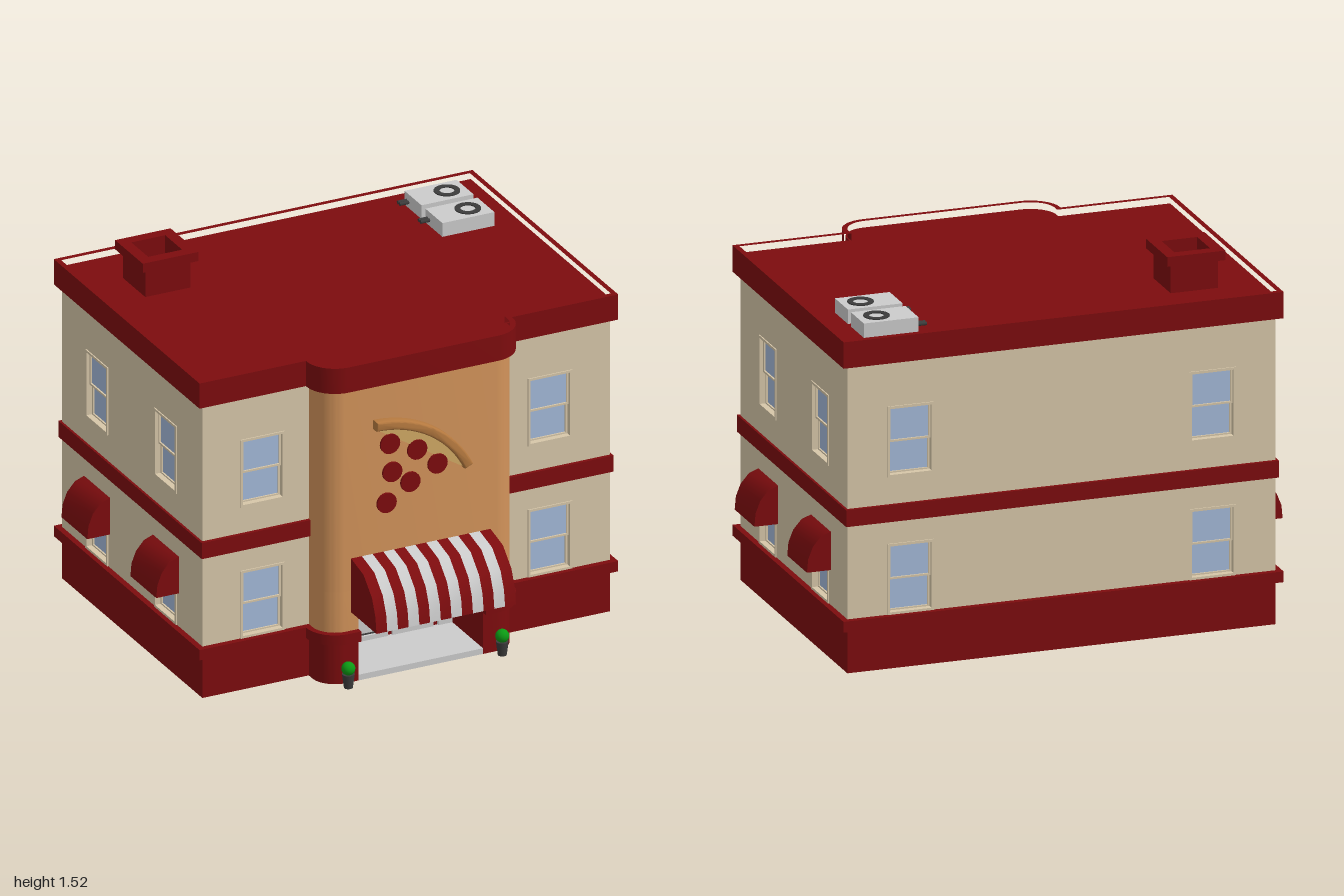
import * as THREE from 'three';
import { toCreasedNormals } from 'three/addons/utils/BufferGeometryUtils.js';

const mat = (color) => new THREE.MeshStandardMaterial({ color });
const RED = mat(0x7d0c0e), CREAM = mat(0xd6c6a8), ORANGE = mat(0xd2935a), GREY = mat(0xcccccc);
const GLASS = mat(0xa3b8d8), DARK = mat(0x3c3c3c), GREEN = mat(0x0c9a14);
const CHEESE = mat(0xd0a864), CRUST = mat(0xb5793f);

function add(parent, name, geometry, material, x = 0, y = 0, z = 0) {
  const mesh = new THREE.Mesh(geometry, material);
  mesh.name = name;
  mesh.position.set(x, y, z);
  parent.add(mesh);
  return mesh;
}
const box = (w, h, d) => new THREE.BoxGeometry(w, h, d);
const extrude = (shape, depth) => toCreasedNormals(
  new THREE.ExtrudeGeometry(shape, { depth, bevelEnabled: false, curveSegments: 10 }), 0.6);

function rect(w, h, x = 0, y = 0, Type = THREE.Shape) {
  const s = new Type();
  s.moveTo(x - w / 2, y - h / 2);
  s.lineTo(x + w / 2, y - h / 2);
  s.lineTo(x + w / 2, y + h / 2);
  s.lineTo(x - w / 2, y + h / 2);
  s.closePath();
  return s;
}
function frame(w, h, t, depth) {
  const s = rect(w, h);
  s.holes.push(rect(w - 2 * t, h - 2 * t, 0, 0, THREE.Path));
  return extrude(s, depth);
}

// Floor plan (shape y = -z), grown by o; optional door notch, or the rounded bay alone
function plan(o, { notch = false, bayOnly = false, Type = THREE.Shape } = {}) {
  const s = new Type(), r = 0.1 + o, bx = 0.43 + o, f = -0.59 - o, x = 0.9 + o;
  if (bayOnly) {
    s.moveTo(-bx, 0);
    s.lineTo(bx, 0);
  } else {
    s.moveTo(-x, 0.78 + o);
    s.lineTo(x, 0.78 + o);
    s.lineTo(x, -0.46 - o);
    s.lineTo(bx, -0.46 - o);
  }
  s.absarc(bx - r, f + r, r, 0, -Math.PI / 2, true);
  if (notch) for (const [px, py] of [[0.275, f], [0.275, -0.1], [-0.275, -0.1], [-0.275, f]]) s.lineTo(px, py);
  s.absarc(r - bx, f + r, r, -Math.PI / 2, -Math.PI, true);
  if (!bayOnly) {
    s.lineTo(-bx, -0.46 - o);
    s.lineTo(-x, -0.46 - o);
  }
  s.closePath();
  return s;
}
const slab = (shape, y0, y1) => extrude(shape, y1 - y0).rotateX(-Math.PI / 2).translate(0, y0, 0);

// Sash window, its opening face at z = 0
function makeWindow() {
  const g = new THREE.Group();
  g.name = 'window';
  add(g, 'windowFrame', frame(0.195, 0.295, 0.01, 0.035), CREAM, 0, 0, -0.03);
  add(g, 'upperSash', frame(0.175, 0.145, 0.008, 0.012), CREAM, 0, 0.067, -0.022);
  add(g, 'lowerSash', frame(0.175, 0.145, 0.008, 0.012), CREAM, 0, -0.067, -0.032);
  add(g, 'upperPane', box(0.165, 0.135, 0.006), GLASS, 0, 0.067, -0.02);
  add(g, 'lowerPane', box(0.165, 0.135, 0.006), GLASS, 0, -0.067, -0.03);
  return g;
}

// Wall panel facing +z with two storeys of windows
function makeWall(name, width, windowXs) {
  const g = new THREE.Group();
  g.name = name;
  const s = rect(width, 1.055, 0, 0.7525);
  for (const x of windowXs) for (const y of [0.3725, 0.945]) {
    s.holes.push(rect(0.195, 0.295, x, y, THREE.Path));
    const w = makeWindow();
    w.position.set(x, y, 0);
    g.add(w);
  }
  add(g, 'wallPanel', extrude(s, 0.04), CREAM, 0, 0, -0.04);
  return g;
}

// Curved awning: profile of [outward, y] points, open underneath
function makeAwning(name, profile, width, stripes) {
  const g = new THREE.Group();
  g.name = name;
  const y0 = profile[profile.length - 1][1];
  const outer = profile.map(([d, y]) => new THREE.Vector2(d, y));
  const inner = profile.map(([d, y]) => new THREE.Vector2(d * 0.94, y0 + (y - y0) * 0.94)).reverse();
  const across = (shape, w) => extrude(shape, w).rotateY(-Math.PI / 2).translate(w / 2, 0, 0);
  const w = width / stripes;
  for (let i = 0; i < stripes; i++) {
    add(g, 'awningStripe', across(new THREE.Shape([...outer, ...inner]), w), i % 2 ? GREY : RED, (i + 0.5) * w - width / 2);
  }
  const side = new THREE.Shape([new THREE.Vector2(0, y0), ...outer]);
  for (const sx of [-1, 1]) add(g, 'awningSide', across(side, 0.006), RED, sx * (width / 2 - 0.0025));
  return g;
}

// Wall sign: pie slice with a raised crust and round toppings
function makeSliceSign() {
  const g = new THREE.Group();
  g.name = 'sliceSign';
  g.position.set(-0.21, 0.65, 0.585);
  const a0 = 0.455, a1 = Math.PI / 2;
  const slice = new THREE.Shape();
  slice.moveTo(0, 0);
  slice.absarc(0, 0, 0.44, a0, a1, false);
  slice.closePath();
  add(g, 'slice', extrude(slice, 0.022), CHEESE);
  const crust = new THREE.Shape();
  crust.absarc(0, 0, 0.475, a0, a1, false);
  crust.absarc(0, 0, 0.435, a1, a0, true);
  crust.closePath();
  add(g, 'crust', toCreasedNormals(new THREE.ExtrudeGeometry(crust, {
    depth: 0.032, bevelThickness: 0.01, bevelSize: 0.008, bevelOffset: -0.008, bevelSegments: 3, curveSegments: 16,
  }), 0.6), CRUST);
  for (const [x, y] of [[0.065, 0.365], [0.185, 0.315], [0.075, 0.24], [0.275, 0.235], [0.155, 0.18], [0.05, 0.11]]) {
    add(g, 'topping', new THREE.CylinderGeometry(0.043, 0.043, 0.01, 20).rotateX(Math.PI / 2), RED, x, y, 0.023);
  }
  return g;
}

// Double door with sidelights
function makeEntrance() {
  const g = new THREE.Group();
  g.name = 'entrance';
  add(g, 'entranceFloor', box(0.55, 0.025, 0.49), GREY, 0, 0.0125, 0.345);
  const panel = (name, x, w) => {
    add(g, name + 'Frame', frame(w, 0.375, 0.02, 0.03), GREY, x, 0.2125, 0.29);
    add(g, name + 'Seal', frame(w - 0.04, 0.335, 0.004, 0.02), DARK, x, 0.2125, 0.29);
    add(g, name + 'Panel', box(w - 0.04, 0.335, 0.01), GREY, x, 0.2125, 0.298);
  };
  for (const s of [-1, 1]) {
    panel('door', s * 0.1, 0.18);
    panel('sidelight', s * 0.244, 0.062);
    add(g, 'doorPost', box(0.022, 0.375, 0.02), RED, s * 0.2015, 0.2125, 0.3);
    add(g, 'doorHandle', box(0.008, 0.1, 0.012), DARK, s * 0.022, 0.18, 0.325);
  }
  add(g, 'doorSplit', box(0.02, 0.375, 0.02), RED, 0, 0.2125, 0.3);
  return g;
}

export function createModel() {
  const model = new THREE.Group();
  model.name = 'restaurantBuilding';

  // Plinth, ledges and rounded entrance bay
  add(model, 'base', slab(plan(0, { notch: true }), 0, 0.18), RED);
  add(model, 'baseLedge', slab(plan(0.025, { notch: true }), 0.18, 0.225), RED);
  add(model, 'floorBand', box(1.82, 0.07, 1.27), RED, 0, 0.65, -0.16);
  add(model, 'lowerBay', slab(plan(0, { notch: true, bayOnly: true }), 0.225, 0.4), ORANGE);
  add(model, 'upperBay', slab(plan(0, { bayOnly: true }), 0.4, 1.28), ORANGE);

  // Windowed walls
  const place = (part, x, z, turn = 0, y = 0) => {
    part.position.set(x, y, z);
    part.rotation.y = turn;
    model.add(part);
  };
  place(makeWall('backWall', 1.8, [-0.635, 0.635]), 0, -0.78, Math.PI);
  for (const s of [-1, 1]) {
    place(makeWall('frontWall', 0.48, [-s * 0.025]), s * 0.66, 0.46);
    place(makeWall('sideWall', 1.24, [-s * 0.2975, s * 0.31]), s * 0.9, -0.16, s * Math.PI / 2);
    const profile = [[0, 0.53], [0.04, 0.515], [0.075, 0.475], [0.095, 0.425], [0.1, 0.37]];
    for (const z of [0.1375, -0.4725]) place(makeAwning('sideAwning', profile, 0.228, 1), s * 0.9, z, s * Math.PI / 2);
  }

  // Entrance, striped awning and sign
  model.add(makeEntrance());
  const front = [[0, 0.54], [0.11, 0.515], [0.185, 0.445], [0.215, 0.375], [0.225, 0.305]];
  place(makeAwning('frontAwning', front, 0.615, 13), 0, 0.59);
  model.add(makeSliceSign());

  // Potted shrubs
  for (const s of [-1, 1]) {
    add(model, 'pot', new THREE.CylinderGeometry(0.026, 0.018, 0.06, 14), DARK, s * 0.34, 0.03, 0.63);
    add(model, 'shrub', new THREE.SphereGeometry(0.028, 18, 12), GREEN, s * 0.34, 0.083, 0.63);
  }

  // Roof and parapet
  add(model, 'roof', slab(plan(0.01), 1.285, 1.36), RED);
  const rim = plan(0.025);
  rim.holes.push(plan(0.003, { Type: THREE.Path }));
  add(model, 'parapet', slab(rim, 1.28, 1.39), RED);

  // Hollow chimney
  const ring = (w, y0, y1) => {
    const s = rect(w, w, -0.63, 0.485);
    s.holes.push(rect(0.15, 0.15, -0.63, 0.485, THREE.Path));
    return slab(s, y0, y1);
  };
  add(model, 'chimney', ring(0.2, 1.35, 1.48), RED);
  add(model, 'chimneyCap', ring(0.245, 1.48, 1.52), RED);

  // Rooftop cooling units
  for (const z of [-0.62, -0.435]) {
    add(model, 'coolingUnit', box(0.23, 0.07, 0.15), GREY, 0.685, 1.385, z);
    const fan = new THREE.Shape().absarc(0, 0, 0.053, 0, Math.PI * 2);
    fan.holes.push(new THREE.Path().absarc(0, 0, 0.03, 0, Math.PI * 2));
    add(model, 'fanRing', slab(fan, 0, 0.005), DARK, 0.72, 1.419, z);
    for (const dz of [-0.057, -0.04]) {
      add(model, 'unitPipe', new THREE.CylinderGeometry(0.008, 0.008, 0.045, 8).rotateZ(Math.PI / 2), DARK, 0.553, 1.385, z + dz);
    }
  }
  return model;
}
